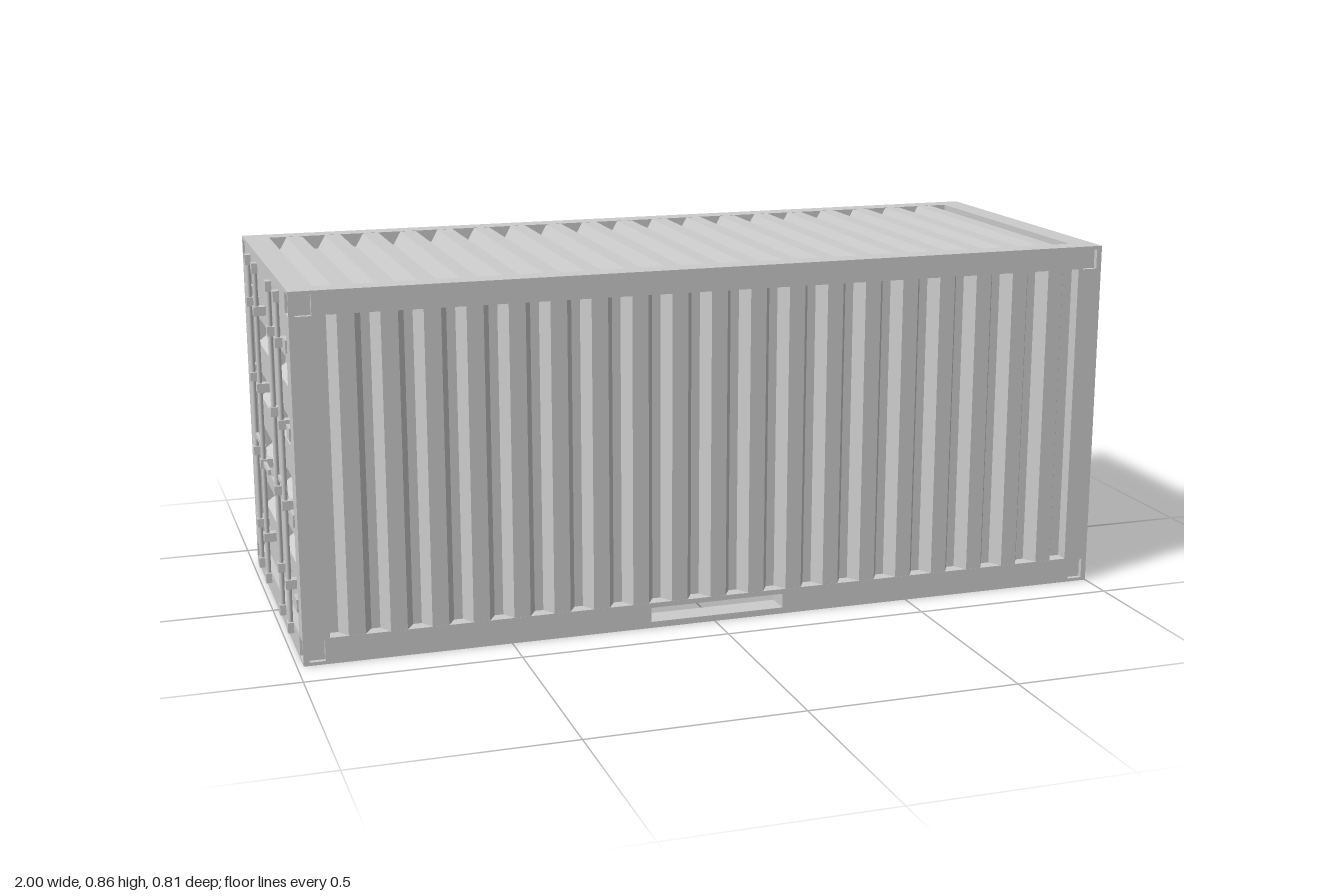
import * as THREE from 'three';

const L = 1.985, H = 0.86, W = 0.81, CX = 0.0075, DEPTH = 0.033;
const grey = new THREE.MeshStandardMaterial({ color: 0xcccccc, side: THREE.DoubleSide, flatShading: true });
const smooth = new THREE.MeshStandardMaterial({ color: 0xcccccc });

function add(parent, name, geometry, x = 0, y = 0, z = 0, material = grey) {
  const mesh = new THREE.Mesh(geometry, material);
  mesh.name = name;
  mesh.position.set(x, y, z);
  parent.add(mesh);
  return mesh;
}

// Flat sheet with rectangular openings, each [x0, y0, x1, y1]
function sheet(x0, y0, x1, y1, holes) {
  const ring = (T, a, b, c, d) => new T([[a, b], [c, b], [c, d], [a, d]].map(p => new THREE.Vector2(...p)));
  const shape = ring(THREE.Shape, x0, y0, x1, y1);
  holes.forEach(h => shape.holes.push(ring(THREE.Path, ...h)));
  return new THREE.ShapeGeometry(shape);
}

// Inside of a rectangular recess; drop lists the box sides left open (4 = mouth, 5 = floor)
function recess(parent, name, [x0, y0, x1, y1], depth, drop = [4]) {
  const g = new THREE.BoxGeometry(x1 - x0, y1 - y0, depth);
  g.setIndex([...g.index.array].filter((v, i) => !drop.includes(Math.floor(i / 6))));
  add(parent, name, g, (x0 + x1) / 2, (y0 + y1) / 2, -depth / 2);
}

// A wall facing local +z with a panel opening, corner pockets and optional slot
function wall(name, w, opening, { marginX, pocketW, slot, depth = DEPTH }) {
  const g = new THREE.Group();
  g.name = name;
  const pockets = [];
  for (const s of [-1, 1]) for (const y of [0.008, H - 0.056]) {
    const a = s * (w / 2 - marginX), b = s * (w / 2 - marginX - pocketW);
    pockets.push([Math.min(a, b), y, Math.max(a, b), y + 0.048]);
  }
  add(g, 'frame', sheet(-w / 2, 0, w / 2, H, [opening, ...pockets, ...(slot ? [slot] : [])]));
  pockets.forEach(p => recess(g, 'cornerPocket', p, 0.012));
  recess(g, 'panelBack', opening, depth);
  if (slot) recess(g, 'forkSlot', slot, 0.06, [4, 5]);
  return g;
}

// Trapezoid rib running along local y, its flat top at z = 0
function ribGeometry(length) {
  const s = new THREE.Shape([[-0.038, -DEPTH], [0.038, -DEPTH], [0.0195, -0.0004], [-0.0195, -0.0004]]
    .map(p => new THREE.Vector2(...p)));
  const g = new THREE.ExtrudeGeometry(s, { depth: length, bevelEnabled: false });
  return g.rotateX(-Math.PI / 2).scale(1, 1, -1).translate(0, 0, 0);
}

// Extruded rib with correct outward faces, centred on its length
function rib(length) {
  const g = ribGeometry(length);
  const idx = [];
  for (let i = 0; i < g.attributes.position.count; i += 3) idx.push(i, i + 2, i + 1);
  g.setIndex(idx);
  g.translate(0, -length / 2, 0);
  return g;
}

function uprightRibs(g, length, y) {
  const geo = rib(length);
  for (let i = -9; i <= 9; i++) add(g, 'rib', geo, i * 0.0965, y);
}

// Door leaf: grooved profile extruded across, with plain stiles either side
function doorLeaf(parent, side) {
  const back = -0.045, face = -0.016, floor = -0.037;
  const pts = [[back, 0.062], [face, 0.062]];
  for (const y of [0.19, 0.33, 0.47, 0.61])
    pts.push([face, y], [floor, y + 0.016], [floor, y + 0.05], [face, y + 0.066]);
  pts.push([face, 0.803], [back, 0.803]);
  const shape = new THREE.Shape(pts.map(p => new THREE.Vector2(...p)));
  const geo = new THREE.ExtrudeGeometry(shape, { depth: 0.25, bevelEnabled: false });
  geo.rotateY(-Math.PI / 2).translate(0.125, 0, 0);
  add(parent, 'doorPanel', geo, side * 0.165);
  for (const x of [0.025, 0.315])
    add(parent, 'doorStile', new THREE.BoxGeometry(0.04, 0.741, 0.03), side * x, 0.4325, -0.0305);
}

// Locking rods, keepers, handles and hinges of one door
function doorHardware(parent, side) {
  const rod = new THREE.CylinderGeometry(0.006, 0.006, 0.8, 10);
  for (const x of [0.125, 0.255]) {
    add(parent, 'lockRod', rod, side * x, 0.435, 0.006, smooth);
    for (const y of [0.045, 0.825])
      add(parent, 'rodCam', new THREE.BoxGeometry(0.024, 0.025, 0.014), side * x, y, 0.007);
    for (const y of [0.15, 0.34, 0.53, 0.72])
      add(parent, 'rodKeeper', new THREE.BoxGeometry(0.024, 0.022, 0.03), side * x, y, -0.001);
    add(parent, 'handle', new THREE.BoxGeometry(0.1, 0.012, 0.008), side * (x - 0.045), x < 0.2 ? 0.34 : 0.38, 0.004);
  }
  for (const y of [0.13, 0.33, 0.53, 0.73])
    add(parent, 'hinge', new THREE.BoxGeometry(0.045, 0.03, 0.02), side * 0.34, y, -0.006);
}

export function createModel() {
  const model = new THREE.Group();
  model.name = 'shippingContainer';
  const place = (g, x, y, z, rx, ry) => {
    g.position.set(x, y, z);
    g.rotation.set(rx, ry, 0);
    model.add(g);
  };

  // Long side walls
  const slot = [-0.168, 0.015, 0.166, 0.05];
  for (const s of [1, -1]) {
    const side = wall(s > 0 ? 'frontWall' : 'backWall', L, [-0.931, 0.062, 0.931, 0.805],
      { marginX: 0.013, pocketW: 0.037, slot: s > 0 ? slot : [-slot[2], slot[1], -slot[0], slot[3]] });
    uprightRibs(side, 0.743, 0.4335);
    place(side, CX, 0, s * W / 2, 0, s > 0 ? 0 : Math.PI);
  }

  // Plain end with level ribs
  const end = wall('endWall', W, [-0.35, 0.083, 0.35, 0.803], { marginX: 0.005, pocketW: 0.047 });
  const level = rib(0.7).rotateZ(Math.PI / 2);
  for (let i = 0; i < 8; i++) add(end, 'rib', level, 0, 0.065 + i * 0.0963);
  place(end, 1, 0, 0, 0, Math.PI / 2);

  // Door end
  const doors = wall('doorEnd', W, [-0.35, 0.06, 0.35, 0.805], { marginX: 0.005, pocketW: 0.047, depth: 0.045 });
  for (const s of [-1, 1]) {
    doorLeaf(doors, s);
    doorHardware(doors, s);
  }
  place(doors, CX - L / 2, 0, 0, 0, -Math.PI / 2);

  // Roof
  const roof = new THREE.Group();
  roof.name = 'roof';
  const roofHole = [-0.931, -0.352, 0.931, 0.352];
  add(roof, 'roofFrame', sheet(-L / 2, -W / 2, L / 2, W / 2, [roofHole]));
  recess(roof, 'roofPanel', roofHole, DEPTH);
  uprightRibs(roof, 0.704, 0);
  place(roof, CX, H, 0, -Math.PI / 2, 0);

  // Underside: rim around a raised floor, inner rail faces pierced by the slots
  const base = new THREE.Group();
  base.name = 'underside';
  const baseHole = [-0.93, -0.345, 0.93, 0.345];
  add(base, 'bottomRim', sheet(-L / 2, -W / 2, L / 2, W / 2, [baseHole]));
  recess(base, 'floor', baseHole, 0.06, [2, 3, 4]);
  place(base, CX, 0, 0, Math.PI / 2, 0);
  for (const z of [-0.345, 0.345])
    add(model, 'innerRail', sheet(-0.93, 0, 0.93, 0.06, [slot]), CX, 0, z);

  return model;
}
